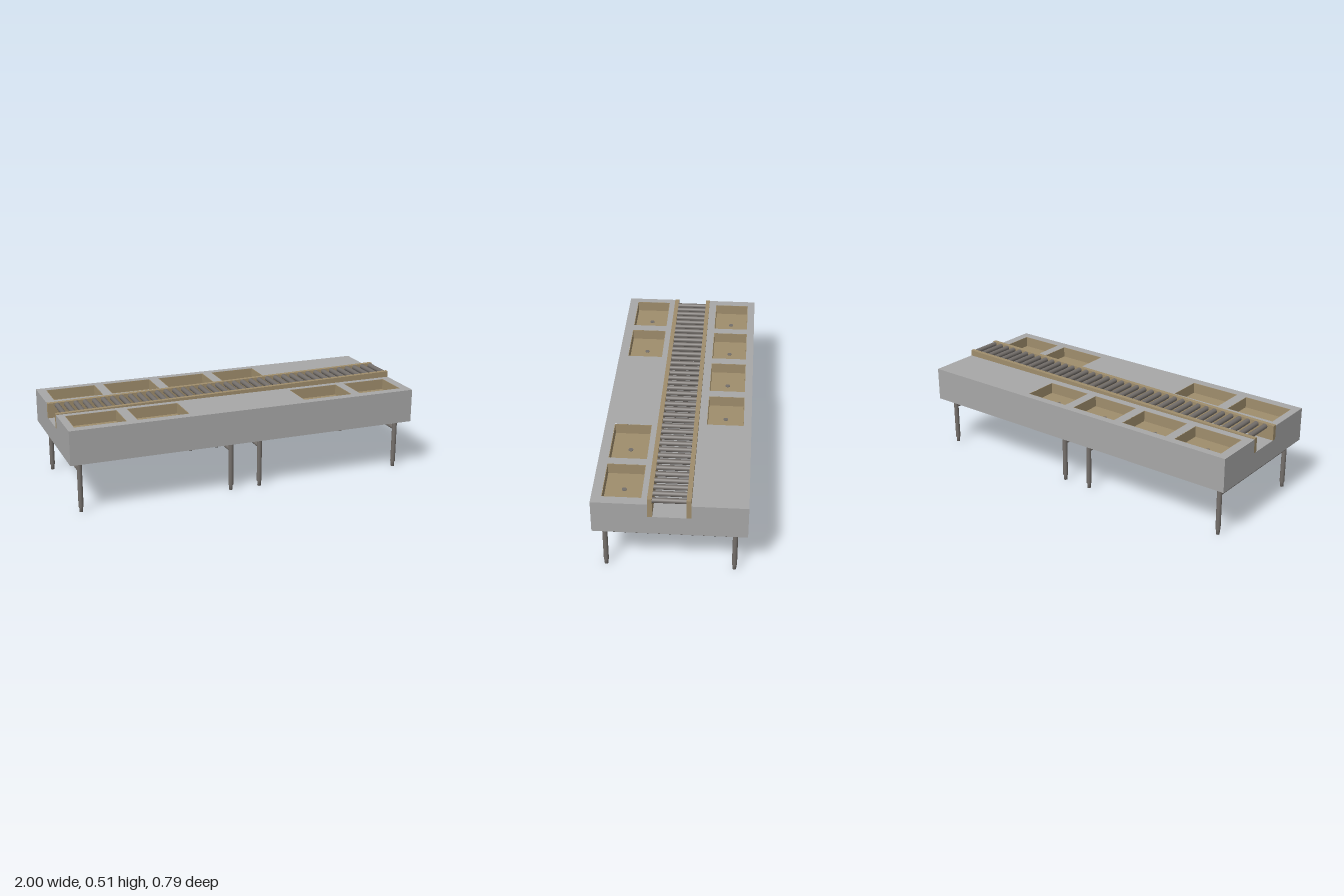
import * as THREE from 'three';

const material = (name, color) => {
  const m = new THREE.MeshStandardMaterial({ color });
  m.name = name;
  return m;
};

export function createModel() {
  const grey = material('grey body', 0xa7a7a7);
  const tan = material('tan lining', 0x9f8d6c);
  const steel = material('dark steel', 0x736e6a);
  const model = new THREE.Group();
  model.name = 'rollerTable';

  const group = (name) => {
    const g = new THREE.Group();
    g.name = name;
    model.add(g);
    return g;
  };
  const add = (parent, name, geometry, mat) => {
    const mesh = new THREE.Mesh(geometry, mat);
    mesh.name = name;
    parent.add(mesh);
    return mesh;
  };
  // Box given by its minimum and maximum corners
  const box = (parent, name, mat, x0, x1, y0, y1, z0, z1) =>
    add(parent, name, new THREE.BoxGeometry(x1 - x0, y1 - y0, z1 - z0), mat)
      .position.set((x0 + x1) / 2, (y0 + y1) / 2, (z0 + z1) / 2);
  // Round steel bar along one axis
  const bar = (parent, name, axis, radius, length, x, y, z) => {
    const g = new THREE.CylinderGeometry(radius, radius, length, 20);
    if (axis === 'x') g.rotateZ(Math.PI / 2);
    if (axis === 'z') g.rotateX(Math.PI / 2);
    add(parent, name, g, steel).position.set(x, y, z);
  };

  const bottom = 0.284, top = 0.473, floor = 0.394;
  const halfDepth = 0.395, slot = 0.11, wall = 0.003;

  // Basins: x start, x end, on each side of the conveyor
  const rows = [
    { z0: -0.353, z1: -0.153, spans: [[-0.95, -0.667], [-0.615, -0.335], [-0.28, 0], [0.055, 0.32]] },
    { z0: 0.143, z1: 0.344, spans: [[-0.96, -0.677], [-0.62, -0.33], [0.345, 0.64], [0.69, 0.95]] },
  ];

  // Shell: deck plates with basin openings
  const shell = group('tableShell');
  const rectangle = (path, x0, x1, z0, z1) => {
    path.moveTo(x0, -z0);
    path.lineTo(x1, -z0);
    path.lineTo(x1, -z1);
    path.lineTo(x0, -z1);
    path.closePath();
    return path;
  };
  rows.forEach(({ z0, z1, spans }, i) => {
    const plate = i === 0
      ? rectangle(new THREE.Shape(), -1, 1, -halfDepth, -slot)
      : rectangle(new THREE.Shape(), -1, 1, slot, halfDepth);
    for (const [x0, x1] of spans) plate.holes.push(rectangle(new THREE.Path(), x0, x1, z0, z1));
    const g = new THREE.ExtrudeGeometry(plate, { depth: wall, bevelEnabled: false });
    g.rotateX(-Math.PI / 2);
    add(shell, 'deck', g, grey).position.y = top - wall;
  });

  // Shell: long walls, conveyor trough and notched ends, open underneath
  for (const s of [-1, 1]) {
    const outer = s * (halfDepth - wall / 2), inner = s * (slot + wall / 2);
    box(shell, 'sideWall', grey, -1, 1, bottom, top - wall, outer - wall / 2, outer + wall / 2);
    box(shell, 'troughWall', grey, -1, 1, floor - wall, top - wall, inner - wall / 2, inner + wall / 2);

    const end = new THREE.Shape([
      [-halfDepth, bottom], [halfDepth, bottom], [halfDepth, top], [slot, top],
      [slot, floor], [-slot, floor], [-slot, top], [-halfDepth, top],
    ].map(([z, y]) => new THREE.Vector2(z, y)));
    const g = new THREE.ExtrudeGeometry(end, { depth: wall, bevelEnabled: false });
    g.rotateY(Math.PI / 2);
    add(shell, 'endWall', g, grey).position.x = s > 0 ? 1 - wall : -1;
  }
  box(shell, 'troughFloor', grey, -1, 1, floor - wall, floor, -slot, slot);

  // Shallow basins with drains
  const basins = group('basins');
  const basinFloor = 0.41, t = 0.003, rim = top - 0.0005;
  for (const { z0, z1, spans } of rows) {
    for (const [x0, x1] of spans) {
      box(basins, 'basinFloor', tan, x0, x1, basinFloor, basinFloor + t, z0, z1);
      box(basins, 'basinWall', tan, x0, x0 + t, basinFloor, rim, z0, z1);
      box(basins, 'basinWall', tan, x1 - t, x1, basinFloor, rim, z0, z1);
      box(basins, 'basinWall', tan, x0, x1, basinFloor, rim, z0, z0 + t);
      box(basins, 'basinWall', tan, x0, x1, basinFloor, rim, z1 - t, z1);
      bar(basins, 'drain', 'y', 0.013, 0.006, (x0 + x1) / 2, basinFloor + t, (z0 + z1) / 2);
    }
  }

  // Conveyor: sloped side rails
  const conveyor = group('conveyor');
  const railShape = new THREE.Shape([
    new THREE.Vector2(-1, floor), new THREE.Vector2(1, floor),
    new THREE.Vector2(1, 0.507), new THREE.Vector2(-1, 0.477),
  ]);
  for (const z of [-slot, 0.086]) {
    const g = new THREE.ExtrudeGeometry(railShape, { depth: 0.024, bevelEnabled: false });
    add(conveyor, 'rail', g, tan).position.z = z;
  }
  // Conveyor: rollers following the slope
  const rollers = 38;
  for (let i = 0; i < rollers; i++) {
    const x = -0.948 + (i / (rollers - 1)) * 1.933;
    bar(conveyor, 'roller', 'z', 0.014, 0.174, x, 0.478 + 0.015 * x, 0);
  }

  // Two leg frames, each with four legs, cross bars and a long tie bar
  const barY = 0.234;
  const legProfile = [[0, 0], [0.01, 0], [0.01, 0.024], [0.0135, 0.03], [0.0135, 0.286], [0, 0.286]]
    .map(([r, y]) => new THREE.Vector2(r, y));
  for (const [x0, x1] of [[-0.94, -0.09], [0.08, 0.93]]) {
    const frame = group('legFrame');
    for (const x of [x0, x1]) {
      for (const z of [-0.332, 0.338]) {
        add(frame, 'leg', new THREE.LatheGeometry(legProfile, 20), steel).position.set(x, 0, z);
      }
      bar(frame, 'crossBar', 'z', 0.011, 0.66, x, barY, 0.003);
    }
    bar(frame, 'tieBar', 'x', 0.01, x1 - x0, (x0 + x1) / 2, barY, 0.003);
  }

  return model;
}
